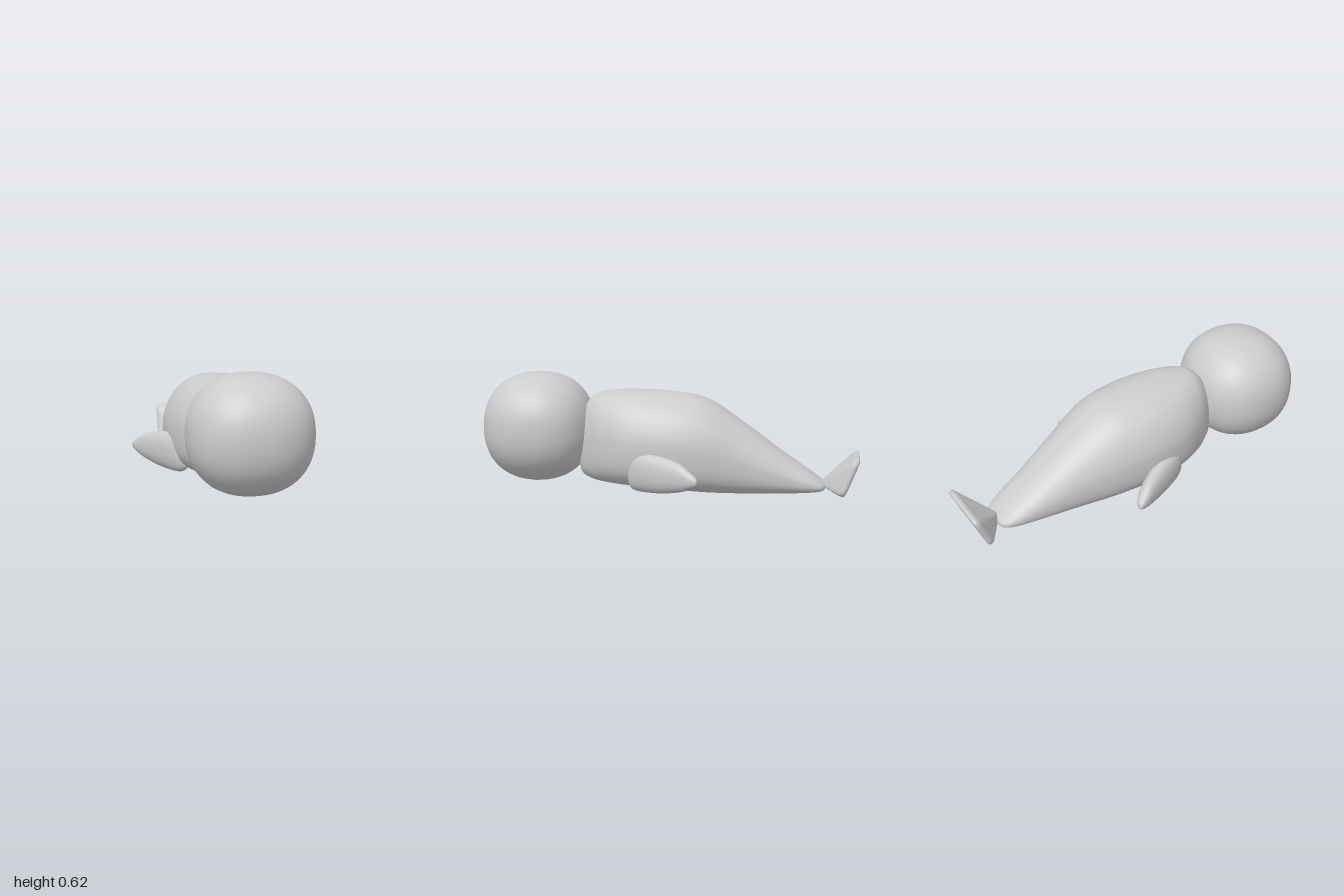
import * as THREE from 'three';
import { mergeVertices } from 'three/addons/utils/BufferGeometryUtils.js';

const grey = new THREE.MeshStandardMaterial({ color: 0xcccccc });

function addMesh(parent, geometry, name) {
  const mesh = new THREE.Mesh(geometry, grey);
  mesh.name = name;
  parent.add(mesh);
  return mesh;
}

// Closed superellipse loft. Keys run from back to front: [z, x0, x1, y0, y1].
function loft(keys, { topPower = 2, bottomPower = 2, lean = 0, tension = 0.5, steps = 48, sides = 48 } = {}) {
  const low = new THREE.CatmullRomCurve3(
    keys.map(([z, x0, , y0]) => new THREE.Vector3(x0, y0, z)), false, 'catmullrom', tension);
  const high = new THREE.CatmullRomCurve3(
    keys.map(([z, , x1, , y1]) => new THREE.Vector3(x1, y1, z)), false, 'catmullrom', tension);
  const positions = [], index = [];
  const bend = (v, power) => Math.sign(v) * Math.abs(v) ** (2 / power);
  const centres = [];
  for (let i = 0; i <= steps; i++) {
    const a = low.getPoint(i / steps), b = high.getPoint(i / steps);
    const c = a.clone().add(b).multiplyScalar(0.5);
    const rx = (b.x - a.x) / 2, ry = (b.y - a.y) / 2;
    centres.push(c);
    for (let j = 0; j < sides; j++) {
      const t = (j / sides) * Math.PI * 2;
      const power = Math.sin(t) > 0 ? topPower : bottomPower;
      const u = bend(Math.cos(t), power), v = bend(Math.sin(t), power);
      positions.push(c.x + rx * u * (1 - lean * Math.max(v, 0)), c.y + ry * v, c.z);
      if (i < steps) {
        const k = (j + 1) % sides, p = i * sides, q = p + sides;
        index.push(p + j, p + k, q + k, p + j, q + k, q + j);
      }
    }
  }
  // End caps
  const back = positions.length / 3, front = back + 1, last = steps * sides;
  positions.push(...centres[0].toArray(), ...centres[steps].toArray());
  for (let j = 0; j < sides; j++) {
    const k = (j + 1) % sides;
    index.push(back, k, j, front, last + j, last + k);
  }
  const geometry = new THREE.BufferGeometry();
  geometry.setAttribute('position', new THREE.Float32BufferAttribute(positions, 3));
  geometry.setIndex(index);
  geometry.computeVertexNormals();
  return geometry;
}

// Slightly squared ball
const HEAD = { centre: new THREE.Vector3(0, 0.33, 0.705), radius: new THREE.Vector3(0.304, 0.29, 0.292), power: 2.25 };
function headPoint(v) {
  const norm = (Math.abs(v.x) ** HEAD.power + Math.abs(v.y) ** HEAD.power + Math.abs(v.z) ** HEAD.power) ** (1 / HEAD.power);
  return v.divideScalar(norm).multiply(HEAD.radius).add(HEAD.centre);
}

function headGeometry() {
  let geometry = new THREE.SphereGeometry(1, 64, 40);
  geometry.deleteAttribute('uv');
  geometry.deleteAttribute('normal');
  geometry = mergeVertices(geometry, 1e-4);
  const pos = geometry.attributes.position, v = new THREE.Vector3();
  for (let i = 0; i < pos.count; i++) {
    headPoint(v.fromBufferAttribute(pos, i));
    pos.setXYZ(i, v.x, v.y, v.z);
  }
  geometry.computeVertexNormals();
  return geometry;
}

export function createModel() {
  const group = new THREE.Group();
  group.name = 'seal';

  addMesh(group, headGeometry(), 'head');

  // Thin mouth line under the head
  const mouthPoints = [];
  for (let i = 0; i <= 12; i++) {
    const a = (i / 12 - 0.5) * 1.3;
    mouthPoints.push(headPoint(new THREE.Vector3(Math.sin(a), -Math.cos(a), 0)));
  }
  addMesh(group, new THREE.TubeGeometry(new THREE.CatmullRomCurve3(mouthPoints), 32, 0.004, 6), 'mouth');

  // Body: flat belly, sloping back; [z, half width, bottom, top]
  const body = [
    [-0.825, 0.05, 0.035, 0.06],
    [-0.805, 0.09, 0.023, 0.077],
    [-0.74, 0.122, 0.015, 0.125],
    [-0.6, 0.155, 0.008, 0.22],
    [-0.4, 0.2, 0.004, 0.365],
    [-0.2, 0.253, 0.008, 0.492],
    [0, 0.28, 0.022, 0.527],
    [0.2, 0.258, 0.033, 0.534],
    [0.34, 0.2, 0.045, 0.523],
    [0.41, 0.15, 0.058, 0.495],
    [0.455, 0.11, 0.08, 0.43],
    [0.48, 0.05, 0.12, 0.33],
  ].map(([z, w, y0, y1]) => [z, -w, w, y0, y1]);
  addMesh(group, loft(body, { topPower: 2.4, bottomPower: 3.2, lean: 0.15, steps: 66, sides: 64 }), 'body');

  // Flippers sweep outward and back
  const flipper = [
    [-0.2, 0.4, 0.412, 0.115, 0.132],
    [-0.19, 0.375, 0.425, 0.102, 0.147],
    [-0.15, 0.33, 0.415, 0.08, 0.176],
    [-0.1, 0.293, 0.394, 0.06, 0.205],
    [0, 0.23, 0.349, 0.04, 0.228],
    [0.1, 0.18, 0.302, 0.035, 0.24],
    [0.15, 0.17, 0.272, 0.04, 0.234],
    [0.175, 0.18, 0.25, 0.06, 0.205],
    [0.182, 0.2, 0.23, 0.09, 0.17],
  ];
  for (const [side, name] of [[1, 'leftFlipper'], [-1, 'rightFlipper']]) {
    const keys = flipper.map(([z, a, b, y0, y1]) => [z, side > 0 ? a : -b, side > 0 ? b : -a, y0, y1]);
    addMesh(group, loft(keys, { topPower: 2.2, bottomPower: 2.2 }), name);
  }

  // Tail fin: tilted rounded panel narrowing to the body
  const tail = [
    [-0.006, -0.145, 0.145, -0.098, 0.1],
    [0, -0.153, 0.153, -0.107, 0.109],
    [0.012, -0.156, 0.156, -0.11, 0.11],
    [0.024, -0.15, 0.15, -0.112, 0.1],
    [0.125, -0.012, 0.012, -0.112, -0.085],
  ];
  const fin = addMesh(group, loft(tail, { topPower: 7, bottomPower: 7, tension: 0, steps: 32, sides: 64 }), 'tailFin');
  fin.position.set(0, 0.109, -0.957);
  fin.rotation.x = -0.38;

  return group;
}
